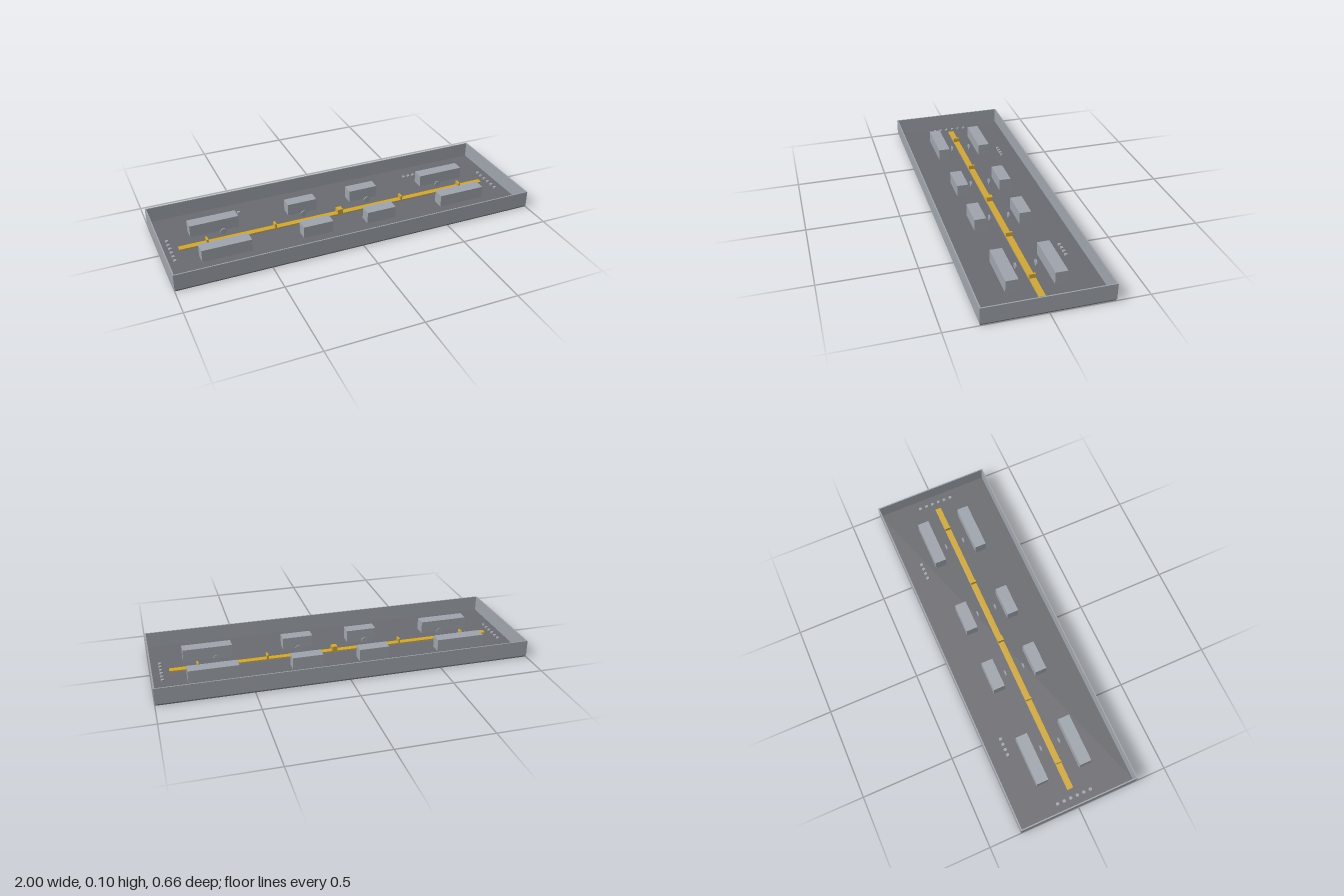
import * as THREE from 'three';

export function createModel() {
  const group = new THREE.Group();
  const material = (name, color) => {
    const m = new THREE.MeshStandardMaterial({ color });
    m.name = name;
    return m;
  };
  const steel = material('light steel grey', 0x9fa5ad);
  const deck = material('dark floor grey', 0x6b6c71);
  const gold = material('gold', 0xd0a83a);

  const add = (name, geometry, mat, x, y, z) => {
    const mesh = new THREE.Mesh(geometry, mat);
    mesh.name = name;
    mesh.position.set(x, y, z);
    group.add(mesh);
    return mesh;
  };
  // Box standing on a given height
  const box = (name, mat, w, h, d, x, base, z) =>
    add(name, new THREE.BoxGeometry(w, h, d), mat, x, base + h / 2, z);

  const floorY = 0.01;

  // Floor plate and the low tray walls around it
  box('floor', deck, 1.993, floorY, 0.65, 0, 0, 0);
  for (const s of [-1, 1]) {
    box('longWall', steel, 2, 0.087, 0.0066, 0, 0.0085, s * 0.325);
    box('endWall', steel, 0.0066, 0.087, 0.6434, s * 0.9967, 0.0085, 0);
  }

  // Two rows of equipment blocks, mirrored front to back and left to right
  for (const sx of [-1, 1]) {
    for (const sz of [-1, 1]) {
      box('longBlock', steel, 0.267, 0.067, 0.064, sx * 0.684, floorY, sz * 0.123);
      box('shortBlock', steel, 0.167, 0.067, 0.064, sx * 0.184, floorY, sz * 0.123);

      // Small upright discs facing the centre line
      for (const x of [0.19, 0.645]) {
        const disc = new THREE.CylinderGeometry(0.017, 0.017, 0.006, 16).rotateX(Math.PI / 2);
        add('disc', disc, steel, sx * x, floorY + 0.017, sz * 0.053);
      }
    }
  }

  // Central rail with its cross plates and middle box
  box('rail', gold, 1.8, 0.01, 0.033, 0, floorY, 0);
  for (const x of [-0.75, -0.375, 0.375, 0.75]) {
    box('railPlate', gold, 0.01, 0.033, 0.034, x, floorY, 0);
  }
  box('railBox', gold, 0.03, 0.035, 0.034, 0, floorY, 0);

  // Studs: a column at each end, and two short rows at the back
  const studGeometry = new THREE.CylinderGeometry(0.009, 0.009, 0.008, 10);
  const stud = (x, z) => add('stud', studGeometry, steel, x, floorY + 0.004, z);
  for (const s of [-1, 1]) {
    for (let i = 0; i < 6; i++) stud(s * 0.943, -0.094 + i * 0.0376);
    for (let i = 0; i < 4; i++) stud(s * (0.512 + i * 0.0307), -0.225);
  }

  return group;
}
